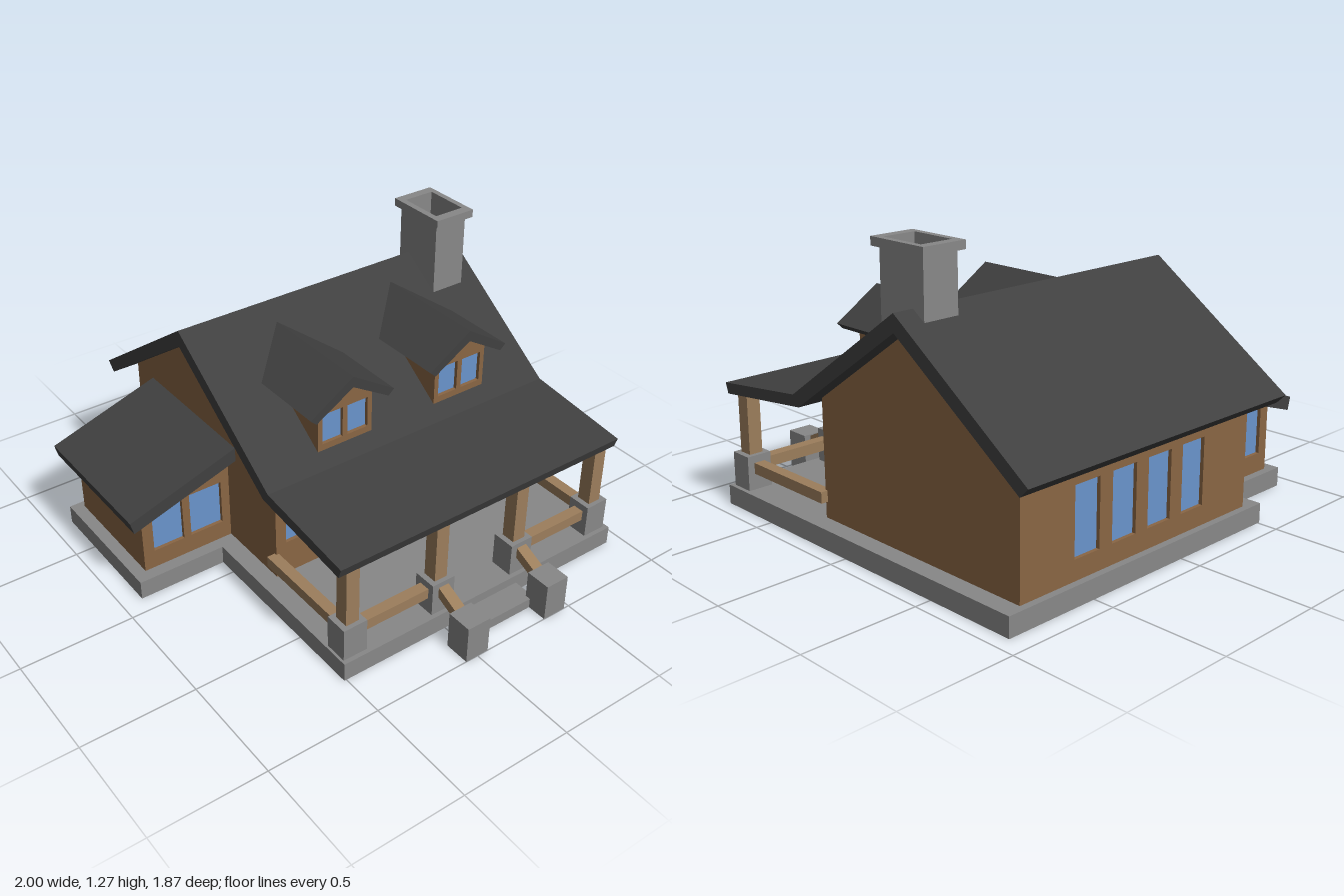
import * as THREE from 'three';

const mat = (color) => new THREE.MeshStandardMaterial({ color });

export function createModel() {
  const model = new THREE.Group();
  const stone = mat(0x888888), wall = mat(0x8a6644), roof = mat(0x404040);
  const timber = mat(0x9c7e5c), glass = mat(0x6a94cc);

  const add = (name, geometry, material) => {
    const mesh = new THREE.Mesh(geometry, material);
    mesh.name = name;
    model.add(mesh);
    return mesh;
  };
  // Box given by its low and high corners
  const box = (name, material, [x0, y0, z0], [x1, y1, z1]) =>
    add(name, new THREE.BoxGeometry(x1 - x0, y1 - y0, z1 - z0)
      .translate((x0 + x1) / 2, (y0 + y1) / 2, (z0 + z1) / 2), material);

  const rect = ([a0, b0, a1, b1]) => [[a0, b0], [a1, b0], [a1, b1], [a0, b1]];
  const extrude = (points, depth, holes = []) => {
    const toVectors = (list) => list.map(([a, b]) => new THREE.Vector2(a, b));
    const shape = new THREE.Shape(toVectors(points));
    for (const h of holes) shape.holes.push(new THREE.Path(toVectors(rect(h))));
    return new THREE.ExtrudeGeometry(shape, { depth, bevelEnabled: false });
  };
  // Prisms along each axis: outline in (z, y), (x, z) and (x, y)
  const prismX = (name, material, pts, x0, x1, holes) =>
    add(name, extrude(pts, x1 - x0, holes).rotateY(-Math.PI / 2).translate(x1, 0, 0), material);
  const prismY = (name, material, pts, y0, y1, holes) =>
    add(name, extrude(pts, y1 - y0, holes).rotateX(Math.PI / 2).translate(0, y1, 0), material);
  const prismZ = (name, material, pts, z0, z1) =>
    add(name, extrude(pts, z1 - z0).translate(0, 0, z0), material);

  // Wall facing +x or -x with window openings and recessed panes
  const windowWall = (name, pts, x, side, windows) => {
    const inner = x - side * 0.03;
    prismX(name, wall, pts, Math.min(x, inner), Math.max(x, inner), windows);
    for (const [z0, y0, z1, y1] of windows) {
      const pane = x - side * 0.02;
      box('windowPane', glass, [pane - 0.004, y0, z0], [pane + 0.004, y1, z1]);
    }
  };

  // Foundation and entrance step
  prismY('foundation', stone, [[-0.91, -0.93], [0.8, -0.93], [0.8, 0.51], [-0.08, 0.51],
    [-0.08, 0.91], [-0.72, 0.91], [-0.72, 0.51], [-0.91, 0.51]], 0, 0.085);
  box('entranceStep', stone, [0.8, 0, -0.385], [0.91, 0.045, -0.035]);

  // Main house: gable ends and windowed long sides
  const gable = [[-0.88, 0.085], [0.22, 0.085], [0.22, 0.59], [-0.33, 0.975], [-0.88, 0.59]];
  prismZ('frontGableWall', wall, gable, 0.4, 0.43);
  prismZ('backGableWall', wall, gable, -0.85, -0.82);
  const sideWall = rect([-0.82, 0.085, 0.4, 0.59]);
  windowWall('porchWall', sideWall, 0.22, 1,
    [[0.065, 0.245, 0.38, 0.485], [-0.8, 0.245, -0.475, 0.485]]);
  windowWall('leftLongWall', sideWall, -0.88, -1,
    [-0.51, -0.31, -0.11, 0.09].map((z) => [z - 0.066, 0.17, z + 0.066, 0.455]));

  // Main roof, bending out over the porch
  prismZ('mainRoof', roof, [[-1, 0.57], [-0.96, 0.53], [-0.33, 0.967], [0.265, 0.555],
    [0.765, 0.5], [0.78, 0.545], [0.3, 0.6], [-0.33, 1.04]], -0.93, 0.515);

  // Front extension with lean-to roof
  const leanTo = [[0.43, 0.085], [0.855, 0.085], [0.855, 0.39], [0.43, 0.525]];
  const leanWindows = [[0.66, 0.17, 0.805, 0.38], [0.47, 0.17, 0.625, 0.38]];
  windowWall('extensionRightWall', leanTo, -0.135, 1, leanWindows);
  windowWall('extensionLeftWall', leanTo, -0.685, -1, leanWindows);
  box('extensionFrontWall', wall, [-0.655, 0.085, 0.825], [-0.165, 0.388, 0.855]);
  prismX('extensionRoof', roof,
    [[0.935, 0.412], [0.42, 0.579], [0.42, 0.515], [0.92, 0.355]], -0.745, -0.07);

  // Two dormers
  for (const c of [0.093, -0.508]) {
    const shift = (pts) => pts.map(([z, y]) => [z + c, y]);
    const outline = shift([[-0.135, 0.645], [0.135, 0.645], [0.135, 0.85], [0, 0.94], [-0.135, 0.85]]);
    windowWall('dormerFront', outline, 0.235, 1,
      [[c - 0.113, 0.675, c - 0.012, 0.815], [c + 0.012, 0.675, c + 0.113, 0.815]]);
    prismX('dormerBody', wall, outline, -0.2, 0.205);
    prismX('dormerRoof', roof, shift([[-0.205, 0.85], [-0.178, 0.825], [0, 0.932],
      [0.178, 0.825], [0.205, 0.85], [0, 0.98]]), -0.245, 0.288);
  }

  // Hollow chimney with cap
  const flue = [-0.37, -0.83, -0.165, -0.685];
  prismY('chimneyStack', stone, rect([-0.39, -0.838, -0.15, -0.677]), 0.88, 1.24, [flue]);
  prismY('chimneyCap', stone, rect([-0.412, -0.856, -0.122, -0.657]), 1.24, 1.275, [flue]);
  box('chimneyFloor', stone, [-0.37, 0.96, -0.83], [-0.165, 0.995, -0.685]);

  // Porch posts on stone piers
  for (const z of [0.443, 0.003, -0.418, -0.856]) {
    box('porchPier', stone, [0.675, 0.085, z - 0.056], [0.78, 0.235, z + 0.056]);
    box('porchPost', timber, [0.696, 0.235, z - 0.031], [0.76, 0.52, z + 0.031]);
  }
  // Porch rails along the front and at both ends
  for (const [z0, z1] of [[0.059, 0.387], [-0.8, -0.474]])
    box('porchRail', timber, [0.703, 0.155, z0], [0.753, 0.203, z1]);
  for (const z of [0.443, -0.856])
    box('porchEndRail', timber, [0.208, 0.155, z - 0.025], [0.675, 0.203, z + 0.025]);

  // Step piers and sloping handrails
  for (const z of [0.003, -0.418]) {
    box('stepPier', stone, [0.885, 0, z - 0.056], [1, 0.17, z + 0.056]);
    prismZ('stepRail', timber,
      [[0.77, 0.168], [0.9, 0.11], [0.9, 0.158], [0.77, 0.217]], z - 0.025, z + 0.025);
  }
  return model;
}
